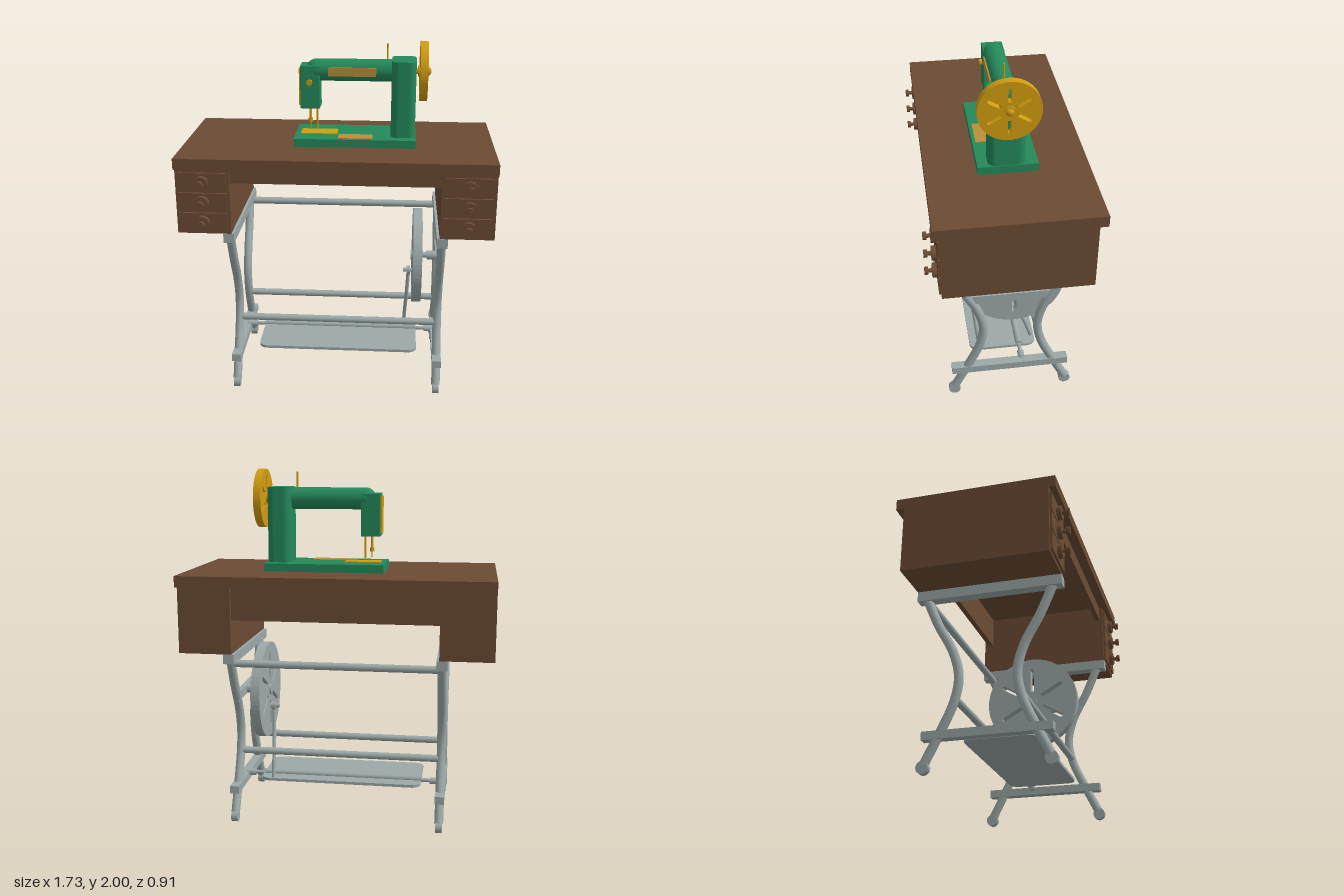
import * as THREE from 'three';
import { RoundedBoxGeometry } from 'three/addons/geometries/RoundedBoxGeometry.js';

const mat = (name, color) => {
  const m = new THREE.MeshStandardMaterial({ color });
  m.name = name;
  return m;
};

export function createModel() {
  const wood = mat('brown wood', 0x6b4b34);
  const iron = mat('grey iron', 0x9ca8a8);
  const green = mat('green enamel', 0x238a5a);
  const gold = mat('gold', 0xd09c10);
  const brass = mat('pale brass', 0xb8903a);

  const model = new THREE.Group();
  model.name = 'treadleSewingMachine';
  const group = (name) => {
    const g = new THREE.Group();
    g.name = name;
    model.add(g);
    return g;
  };
  const add = (parent, name, geo, material) => {
    const m = new THREE.Mesh(geo, material);
    m.name = name;
    parent.add(m);
    return m;
  };
  // Box given by its lower and upper corners
  const box = (p, name, material, [x0, y0, z0], [x1, y1, z1]) => {
    const m = add(p, name, new THREE.BoxGeometry(x1 - x0, y1 - y0, z1 - z0), material);
    m.position.set((x0 + x1) / 2, (y0 + y1) / 2, (z0 + z1) / 2);
    return m;
  };
  // Round bar between two points
  const rod = (p, name, material, a, b, r, sides = 20) => {
    const A = new THREE.Vector3(...a), B = new THREE.Vector3(...b);
    const d = B.clone().sub(A);
    const m = add(p, name, new THREE.CylinderGeometry(r, r, d.length(), sides), material);
    m.position.copy(A).add(B).multiplyScalar(0.5);
    m.quaternion.setFromUnitVectors(new THREE.Vector3(0, 1, 0), d.normalize());
    return m;
  };
  // Disc facing x, pierced by six radial slots
  const slottedWheel = (p, name, material, r, x0, x1, y, z, inner, outer, w) => {
    const s = new THREE.Shape().absarc(0, 0, r, 0, Math.PI * 2, false);
    for (let i = 0; i < 6; i++) {
      const a = Math.PI / 6 + (i * Math.PI) / 3;
      const pts = [[inner, -w], [inner, w], [outer, w], [outer + w, 0], [outer, -w]].map(([u, v]) =>
        new THREE.Vector2(u * Math.cos(a) - v * Math.sin(a), u * Math.sin(a) + v * Math.cos(a)));
      s.holes.push(new THREE.Path(pts));
    }
    const geo = new THREE.ExtrudeGeometry(s, { depth: x1 - x0, bevelEnabled: false, curveSegments: 32 });
    const m = add(p, name, geo, material);
    m.rotation.y = Math.PI / 2;
    m.position.set(x0, y, z);
    return m;
  };

  // Wooden table with two drawer pedestals
  const table = group('table');
  box(table, 'tableTop', wood, [-0.865, 1.373, -0.455], [0.865, 1.435, 0.413]);
  box(table, 'frontApron', wood, [-0.57, 1.287, 0.33], [0.57, 1.373, 0.36]);
  box(table, 'backApron', wood, [-0.57, 1.187, -0.385], [0.57, 1.373, -0.355]);
  for (const s of [-1, 1]) {
    const cx = s * 0.7175, kx = s * 0.72;
    box(table, 'pedestal', wood, [cx - 0.1475, 1.0, -0.41], [cx + 0.1475, 1.373, 0.378]);
    for (const y of [1.07, 1.184, 1.298]) {
      box(table, 'drawerFront', wood, [cx - 0.132, y - 0.052, 0.37], [cx + 0.132, y + 0.052, 0.39]);
      rod(table, 'knobPlate', wood, [kx, y, 0.385], [kx, y, 0.414], 0.038, 28);
      rod(table, 'knobStem', wood, [kx, y, 0.41], [kx, y, 0.44], 0.011);
      rod(table, 'knob', wood, [kx, y, 0.434], [kx, y, 0.453], 0.021);
    }
  }

  // Iron stand: curved legs, rails and feet
  const stand = group('stand');
  const zc = -0.018;
  const profile = [[0.345, 0.96], [0.275, 0.8], [0.19, 0.64], [0.155, 0.5], [0.175, 0.37], [0.245, 0.21], [0.325, 0.05]];
  for (const sx of [-1, 1]) {
    const x = sx * 0.585;
    for (const sz of [-1, 1]) {
      const curve = new THREE.CatmullRomCurve3(profile.map(([z, y]) => new THREE.Vector3(x, y, zc + sz * z)));
      add(stand, 'leg', new THREE.TubeGeometry(curve, 36, 0.025, 14, false), iron);
      rod(stand, 'foot', iron, [x - 0.018, 0.033, zc + sz * 0.328], [x + 0.018, 0.033, zc + sz * 0.328], 0.033, 24);
    }
    box(stand, 'topRail', iron, [x - 0.03, 0.945, -0.41], [x + 0.03, 1.0, 0.38]);
    box(stand, 'lowerRail', iron, [x - 0.026, 0.17, -0.355], [x + 0.026, 0.214, 0.322]);
  }
  rod(stand, 'topCrossRod', iron, [-0.58, 0.938, -0.35], [0.58, 0.938, -0.35], 0.021);
  for (const s of [-1, 1]) {
    rod(stand, 'lowerCrossRod', iron, [-0.585, 0.382, zc + s * 0.172], [0.585, 0.382, zc + s * 0.172], 0.02);
  }
  box(stand, 'wheelBracket', iron, [0.57, 0.694, -0.262], [0.6, 0.746, 0.226]);

  // Foot treadle with its pivot rod
  const treadle = group('treadle');
  const hx = 0.468, z0 = -0.19, z1 = 0.2, r = 0.05;
  const plate = new THREE.Shape();
  plate.absarc(hx - r, z1 - r, r, 0, Math.PI / 2, false);
  plate.absarc(-hx + r, z1 - r, r, Math.PI / 2, Math.PI, false);
  plate.absarc(-hx + r, z0 + r, r, Math.PI, Math.PI * 1.5, false);
  plate.absarc(hx - r, z0 + r, r, Math.PI * 1.5, Math.PI * 2, false);
  const pedal = add(treadle, 'pedalPlate',
    new THREE.ExtrudeGeometry(plate, { depth: 0.016, bevelEnabled: false, curveSegments: 6 }), iron);
  pedal.rotation.x = Math.PI / 2;
  pedal.position.y = 0.214;
  rod(treadle, 'pivotRod', iron, [-0.47, 0.218, -0.09], [0.465, 0.218, -0.09], 0.019);
  for (const s of [-1, 1]) {
    rod(treadle, 'pivotStub', iron, [s * 0.45, 0.212, -0.09], [s * 0.58, 0.212, -0.09], 0.011);
    rod(treadle, 'pivotCollar', iron, [s * 0.52, 0.21, -0.09], [s * 0.57, 0.21, -0.09], 0.019);
  }

  // Drive wheel, crank and connecting rod
  const drive = group('drive');
  slottedWheel(drive, 'driveWheel', iron, 0.28, 0.434, 0.486, 0.72, -0.055, 0.065, 0.21, 0.012);
  rod(drive, 'axle', iron, [0.425, 0.72, -0.055], [0.59, 0.72, -0.055], 0.016);
  rod(drive, 'axleCollar', iron, [0.52, 0.72, -0.055], [0.57, 0.72, -0.055], 0.026);
  rod(drive, 'hub', iron, [0.424, 0.72, -0.055], [0.496, 0.72, -0.055], 0.03);
  rod(drive, 'crankPin', iron, [0.38, 0.62, -0.055], [0.44, 0.62, -0.055], 0.012);
  rod(drive, 'crankCollar', iron, [0.402, 0.62, -0.055], [0.424, 0.62, -0.055], 0.025);
  const link = new THREE.CatmullRomCurve3([[0.414, 0.62, -0.055], [0.407, 0.46, -0.085], [0.4, 0.33, -0.135], [0.395, 0.205, -0.175]]
    .map((p) => new THREE.Vector3(...p)));
  add(drive, 'connectingRod', new THREE.TubeGeometry(link, 20, 0.011, 10, false), iron);

  // Sewing head
  const head = group('sewingHead');
  box(head, 'bed', green, [-0.245, 1.43, -0.182], [0.43, 1.48, 0.14]);
  const pillarShape = new THREE.Shape();
  const c = 0.04, px = 0.0675, pz = 0.099;
  pillarShape.absarc(px - c, pz - c, c, 0, Math.PI / 2, false);
  pillarShape.absarc(-px + c, pz - c, c, Math.PI / 2, Math.PI, false);
  pillarShape.absarc(-px + c, -pz + c, c, Math.PI, Math.PI * 1.5, false);
  pillarShape.absarc(px - c, -pz + c, c, Math.PI * 1.5, Math.PI * 2, false);
  const pillar = add(head, 'pillar',
    new THREE.ExtrudeGeometry(pillarShape, { depth: 0.42, bevelEnabled: false, curveSegments: 8 }), green);
  pillar.rotation.x = -Math.PI / 2;
  pillar.position.set(0.3575, 1.48, -0.016);
  rod(head, 'arm', green, [-0.125, 1.837, -0.018], [0.32, 1.837, -0.018], 0.061, 32);
  add(head, 'armEnd', new THREE.SphereGeometry(0.061, 28, 18), green).position.set(-0.125, 1.837, -0.018);
  const face = add(head, 'needleHousing', new RoundedBoxGeometry(0.11, 0.24, 0.116, 2, 0.005), green);
  face.position.set(-0.16, 1.748, -0.018);
  box(head, 'facePlate', gold, [-0.222, 1.645, -0.068], [-0.214, 1.852, 0.034]);
  box(head, 'armPlate', brass, [-0.06, 1.812, 0.037], [0.205, 1.86, 0.046]);
  box(head, 'slidePlate', brass, [0, 1.478, 0.035], [0.19, 1.484, 0.122]);
  box(head, 'needlePlate', gold, [-0.215, 1.478, -0.07], [-0.01, 1.485, 0.032]);
  rod(head, 'tensionKnob', gold, [-0.163, 1.776, 0.035], [-0.163, 1.776, 0.056], 0.017, 8);

  // Needle, presser bar and spool pin
  rod(head, 'needleBar', gold, [-0.163, 1.54, -0.018], [-0.163, 1.64, -0.018], 0.007, 12);
  rod(head, 'needleClamp', gold, [-0.163, 1.54, -0.018], [-0.163, 1.562, -0.018], 0.013, 12);
  rod(head, 'needle', gold, [-0.163, 1.505, -0.018], [-0.163, 1.545, -0.018], 0.003, 8);
  rod(head, 'presserBar', gold, [-0.125, 1.503, -0.018], [-0.125, 1.64, -0.018], 0.006, 12);
  rod(head, 'spoolPin', gold, [0.265, 1.88, -0.018], [0.265, 1.985, -0.018], 0.005, 10);

  // Hand wheel
  slottedWheel(head, 'handWheel', gold, 0.164, 0.444, 0.486, 1.836, -0.016, 0.052, 0.12, 0.009);
  rod(head, 'handWheelShaft', gold, [0.42, 1.836, -0.016], [0.495, 1.836, -0.016], 0.017);
  rod(head, 'handWheelHub', gold, [0.434, 1.836, -0.016], [0.495, 1.836, -0.016], 0.03, 24);
  const cap = add(head, 'handWheelCap', new THREE.SphereGeometry(0.022, 20, 12), gold);
  cap.scale.x = 0.8;
  cap.position.set(0.491, 1.836, -0.016);

  return model;
}
